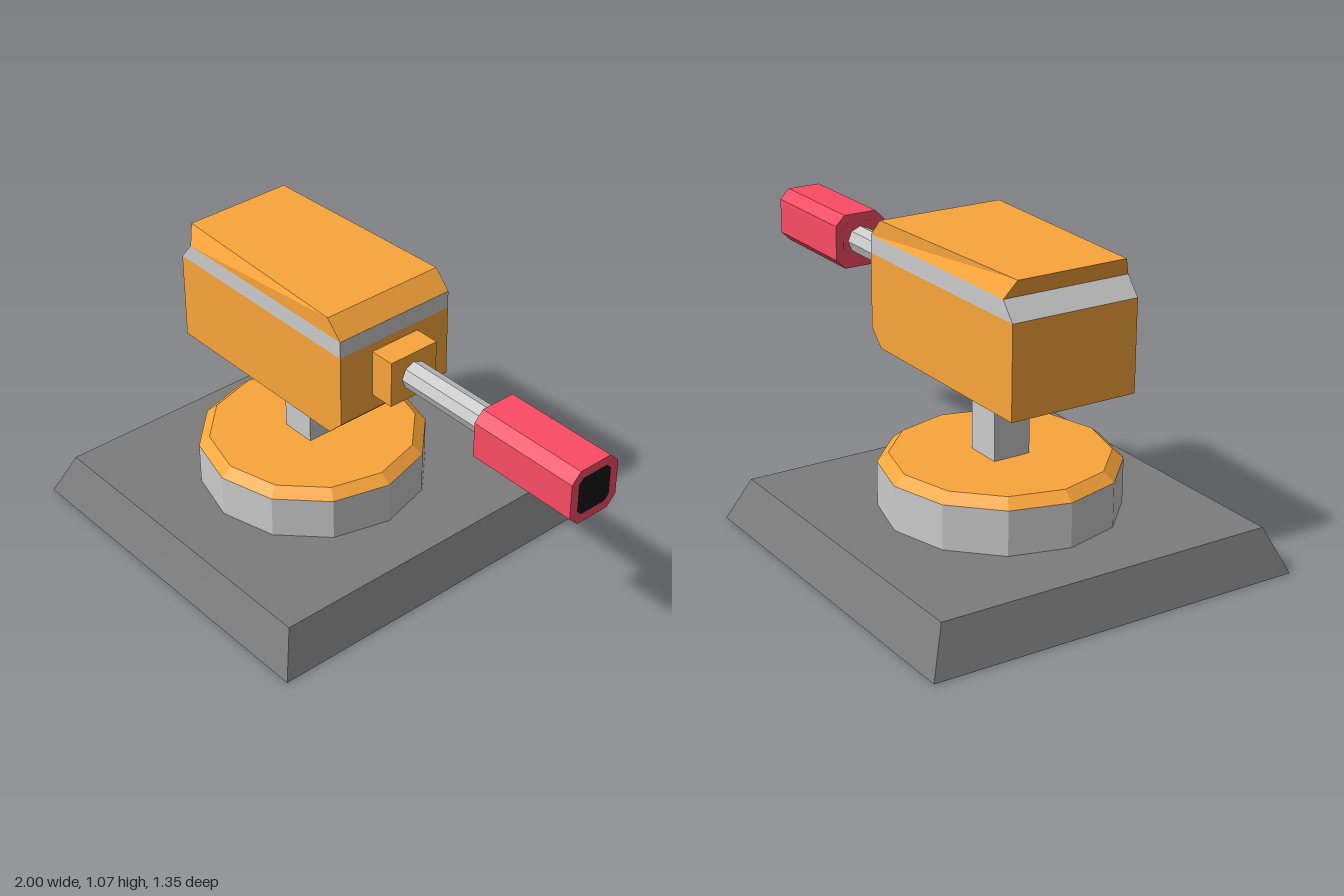
import * as THREE from 'three';

const material = (color) => new THREE.MeshStandardMaterial({ color, flatShading: true });

export function createModel() {
  const model = new THREE.Group();
  const grey = material(0xcccccc);
  const darkGrey = material(0x7c7c7c);
  const orange = material(0xfba63b);
  const red = material(0xfc4c66);
  const black = material(0x151515);

  const add = (name, geometry, mat, x = 0, y = 0, z = 0) => {
    const mesh = new THREE.Mesh(geometry, mat);
    mesh.name = name;
    mesh.position.set(x, y, z);
    model.add(mesh);
    return mesh;
  };

  const shapeOf = (points) => new THREE.Shape(points.map(([x, y]) => new THREE.Vector2(x, y)));

  // side profile in x and y, given a width centred on z = 0
  const slab = (points, width) => new THREE.ExtrudeGeometry(shapeOf(points), { depth: width, bevelEnabled: false })
    .translate(0, 0, -width / 2);

  // box whose corners are placed by a rule: (sx, sy, sz) of -1 or 1 to [x, y, z]
  const cornerBox = (rule) => {
    const geometry = new THREE.BoxGeometry(2, 2, 2);
    const p = geometry.attributes.position;
    for (let i = 0; i < p.count; i++) p.setXYZ(i, ...rule(p.getX(i), p.getY(i), p.getZ(i)));
    geometry.computeVertexNormals();
    return geometry;
  };

  // square outline with cut corners
  const cutSquare = (half, cut) => {
    const a = half - cut;
    return shapeOf([[half, -a], [half, a], [a, half], [-a, half], [-half, a], [-half, -a], [-a, -half], [a, -half]]);
  };

  // sloped square base
  const pivotX = -0.324;
  add('base', cornerBox((sx, sy, sz) => {
    const half = sy > 0 ? 0.609 : 0.676;
    return [sx * half, sy > 0 ? 0.153 : 0, sz * half];
  }), darkGrey, pivotX);

  // twelve-sided turntable with a bevelled cap
  add('turntable', new THREE.CylinderGeometry(0.405, 0.405, 0.155, 12), grey, pivotX, 0.2305);
  add('turntableCap', new THREE.CylinderGeometry(0.367, 0.405, 0.032, 12), orange, pivotX, 0.324);

  // bent support arm
  add('supportArm', slab([
    [-0.39, 0.33], [-0.257, 0.33], [-0.257, 0.52], [-0.46, 0.65], [-0.593, 0.65], [-0.39, 0.52],
  ], 0.136), grey);

  // housing: lower body, band and tapered lid
  const width = 0.462;
  add('housing', slab([
    [-0.727, 0.626], [0.048, 0.626], [0.106, 0.683], [0.106, 0.941], [-0.727, 0.941],
  ], width), orange);
  add('housingBand', slab([
    [-0.727, 0.941], [0.106, 0.941], [0.106, 1.003], [-0.675, 1.003],
  ], width), grey);
  add('housingLid', cornerBox((sx, sy, sz) => {
    const top = sy > 0;
    const x = sx > 0 ? (top ? 0.046 : 0.106) : (top ? -0.706 : -0.675);
    const z = top && sx < 0 ? 0.2 : width / 2;
    return [x, top ? 1.066 : 1.003, sz * z];
  }), orange);

  // neck block and eight-sided barrel
  const axisY = 0.826;
  add('neckBlock', new THREE.BoxGeometry(0.107, 0.168, 0.194), orange, 0.1445, axisY);
  add('barrel', new THREE.CylinderGeometry(0.05, 0.05, 0.4, 8).rotateZ(-Math.PI / 2), grey, 0.39, axisY);

  // muzzle with cut corners and a dark bore at its end
  const bore = cutSquare(0.068, 0.018);
  const muzzleShape = cutSquare(0.098, 0.035);
  muzzleShape.holes.push(bore);
  const muzzle = new THREE.ExtrudeGeometry(muzzleShape, { depth: 0.417, bevelEnabled: false });
  add('muzzle', muzzle.rotateY(Math.PI / 2), red, 0.583, axisY);
  const core = new THREE.ExtrudeGeometry(bore, { depth: 0.417, bevelEnabled: false });
  add('bore', core.rotateY(Math.PI / 2), [red, black], 0.583, axisY);
  // the rear of the core is red, the front end black
  const plug = model.getObjectByName('bore');
  plug.material = black;
  add('muzzleBack', new THREE.ShapeGeometry(bore).rotateY(-Math.PI / 2), red, 0.582, axisY);

  return model;
}
